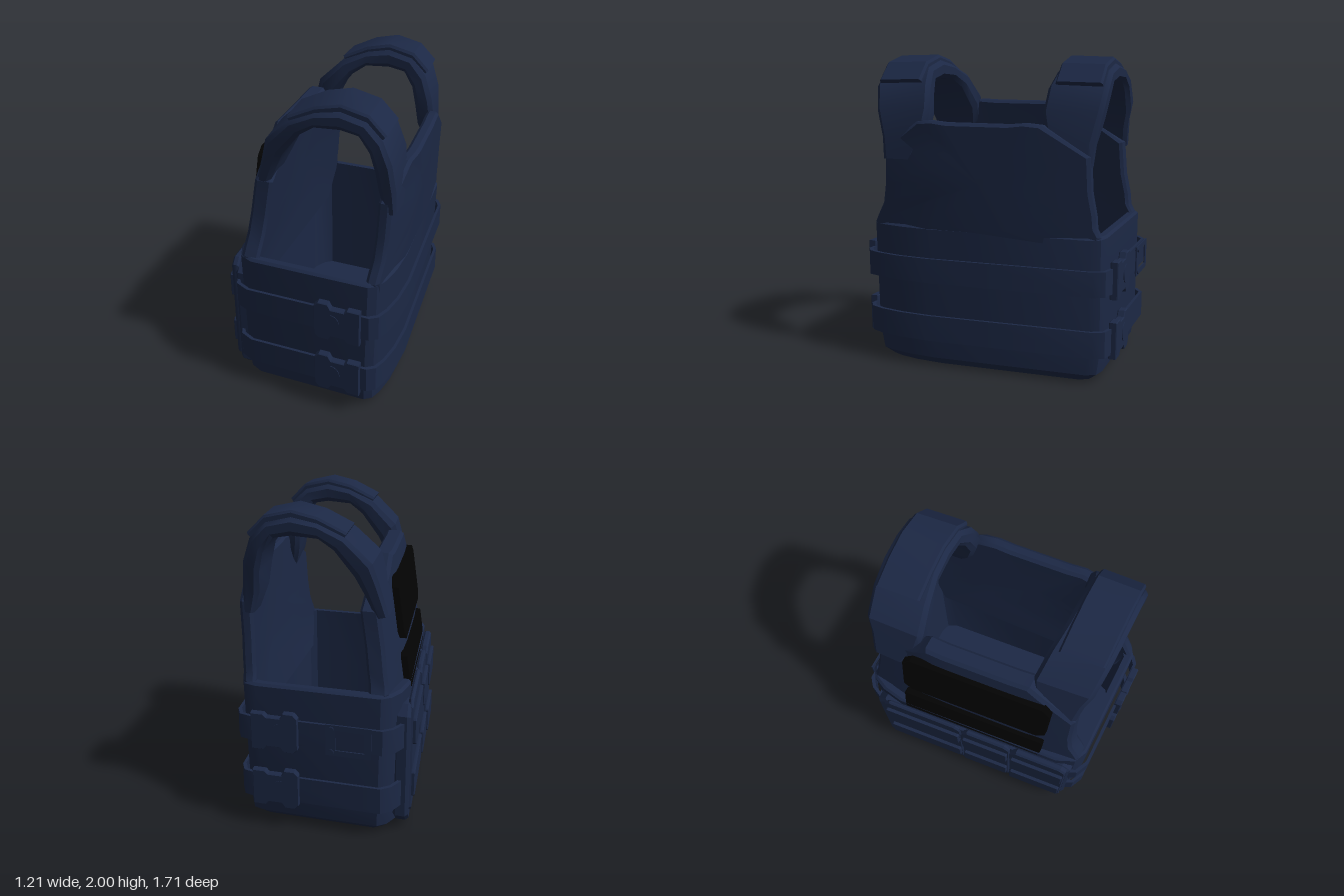
import * as THREE from 'three';
import { toCreasedNormals } from 'three/addons/utils/BufferGeometryUtils.js';

const SKEW = 0.1; // the whole vest is slightly skewed: x grows with z

// Joins rings of [x, y, z] points; ends are capped unless the rings close on themselves
function loft(rings, closed = false) {
  const n = rings[0].length, pos = rings.flat(2), idx = [];
  const count = closed ? rings.length : rings.length - 1;
  for (let r = 0; r < count; r++) {
    const a = r * n, b = ((r + 1) % rings.length) * n;
    for (let i = 0; i < n; i++) {
      const j = (i + 1) % n;
      idx.push(a + i, a + j, b + j, a + i, b + j, b + i);
    }
  }
  if (!closed) {
    [0, rings.length - 1].forEach((r) => {
      const c = pos.length / 3;
      for (let k = 0; k < 3; k++) pos.push(rings[r].reduce((s, p) => s + p[k], 0) / n);
      for (let i = 0; i < n; i++) {
        const a = r * n + i, b = r * n + (i + 1) % n;
        if (r === 0) idx.push(c, b, a); else idx.push(c, a, b);
      }
    });
  }
  // turn the faces outward if the enclosed volume is negative
  let volume = 0;
  const v = (i) => new THREE.Vector3().fromArray(pos, i * 3);
  for (let i = 0; i < idx.length; i += 3) volume += v(idx[i]).dot(v(idx[i + 1]).cross(v(idx[i + 2])));
  if (volume < 0) idx.reverse();
  const g = new THREE.BufferGeometry();
  g.setAttribute('position', new THREE.Float32BufferAttribute(pos, 3));
  g.setIndex(idx);
  return g;
}

// Upright plate with a bevelled edge; outline in (z, y), x leans with height.
// A bent plate wraps inward at its sides, most at the outermost corner of the skewed vest.
function plate(outline, xIn, xOut, lean = 0, bevel = 0.02, bend = 0) {
  const cz = outline.reduce((s, p) => s + p[0], 0) / outline.length;
  const cy = outline.reduce((s, p) => s + p[1], 0) / outline.length;
  const out = Math.sign(xOut - xIn);
  const ring = (x, inset, scale = 1) => outline.map(([z, y]) => {
    const len = Math.hypot(z - cz, y - cy), s = scale * (len - inset) / len;
    const Y = cy + (y - cy) * s, Z = cz + (z - cz) * s;
    const wrap = bend * Math.max(0, Math.abs(Z) - 0.3) * (Z * out > 0 ? 1 : 0.25);
    return [x + lean * (Y - 0.88) - out * wrap, Y, Z];
  });
  const d = out * bevel;
  return loft([ring(xIn, bevel, 0.5), ring(xIn, bevel), ring(xIn + d, 0),
    ring(xOut - d, 0), ring(xOut, bevel), ring(xOut, bevel, 0.5)]);
}

// Panel outline from its +z half; the -z half flares slightly wider above the armpit
const panelOutline = (rows) => [...rows,
  ...rows.map(([z, y]) => [-z - (y > 1 && z > 0.5 ? 0.04 : 0), y]).reverse()];

// Rectangle with cut corners in (z, y)
const cutRect = (z0, z1, y0, y1, c) => [
  [z0 + c, y0], [z1 - c, y0], [z1, y0 + c], [z1, y1 - c],
  [z1 - c, y1], [z0 + c, y1], [z0, y1 - c], [z0, y0 + c]];

// Plan of the torso in (x, z), rounder at two opposite corners
const plan = [
  [0.528, 0.0], [0.528, 0.32], [0.508, 0.52], [0.475, 0.66], [0.44, 0.74], [0.39, 0.775],
  [-0.36, 0.775], [-0.44, 0.735], [-0.48, 0.62], [-0.475, -0.5], [-0.44, -0.64], [-0.39, -0.73], [-0.33, -0.775],
  [0.43, -0.775], [0.5, -0.755], [0.528, -0.69]];
const planRing = (y, sx, sz = sx) => plan.map(([x, z]) => [x * sx, y, z * sz]);

// Shoulder arch: outer x, y, inner x, y, then near and far edge in z
const arch = [
  [-0.375, 1.40, -0.29, 1.38, 0.43, 0.64], [-0.32, 1.60, -0.225, 1.52, 0.345, 0.66],
  [-0.285, 1.72, -0.17, 1.63, 0.325, 0.69], [-0.13, 1.86, -0.05, 1.78, 0.345, 0.705],
  [0.05, 1.935, 0.04, 1.84, 0.37, 0.71], [0.20, 1.965, 0.20, 1.85, 0.375, 0.71],
  [0.36, 1.925, 0.31, 1.83, 0.375, 0.71], [0.46, 1.83, 0.375, 1.74, 0.35, 0.71],
  [0.515, 1.68, 0.405, 1.62, 0.335, 0.69], [0.535, 1.50, 0.42, 1.48, 0.37, 0.65],
  [0.535, 1.36, 0.46, 1.35, 0.44, 0.64]];
const pad = [
  [-0.13, 1.885, -0.10, 1.83, 0.40, 0.68], [0.04, 1.965, 0.06, 1.9, 0.40, 0.68],
  [0.20, 2.0, 0.20, 1.93, 0.40, 0.68], [0.37, 1.96, 0.34, 1.9, 0.40, 0.68],
  [0.475, 1.855, 0.43, 1.81, 0.40, 0.68]];

// Sweeps a chamfered cross-section along an arch on one side
function archLoft(rows, side, c) {
  return loft(rows.map(([ox, oy, ix, iy, zi, zo]) => {
    const shift = side < 0 ? 0.05 : 0;
    const at = (t, z) => [ox + (ix - ox) * t, oy + (iy - oy) * t, side * (z + shift)];
    return [at(0, zi + c), at(0.1, zo - c), at(0.3, zo), at(0.75, zo),
      at(1, zo - c), at(1, zi + c), at(0.75, zi), at(0.25, zi)];
  }));
}

export function createModel() {
  const group = new THREE.Group();
  const navy = new THREE.MeshStandardMaterial({ color: 0x1c2845 });
  navy.name = 'navyFabric';
  const black = new THREE.MeshStandardMaterial({ color: 0x030303 });
  black.name = 'blackPatch';

  const add = (name, geometry, material = navy) => {
    const p = geometry.attributes.position;
    for (let i = 0; i < p.count; i++) p.setX(i, p.getX(i) + SKEW * p.getZ(i));
    const mesh = new THREE.Mesh(toCreasedNormals(geometry, 0.5), material);
    mesh.name = name;
    group.add(mesh);
  };

  // Torso wall with its floor
  add('torsoWall', loft([planRing(0, 0.9), planRing(0.05, 0.975), planRing(0.18, 0.99, 1), planRing(0.92, 1.03, 1),
    planRing(0.935, 1, 0.98), planRing(0.935, 0.93), planRing(0.04, 0.92)]));

  // Back and chest panels
  const sideEdge = [[0.68, 0.65], [0.75, 0.93], [0.725, 0.98], [0.68, 1.06], [0.655, 1.2], [0.645, 1.42]];
  add('backPanel', plate(panelOutline([...sideEdge, [0.4, 1.6], [0.3, 1.61], [0.2, 1.6]]), 0.465, 0.548, 0.04, 0.02, 0.2));
  add('chestPanel', plate(panelOutline([...sideEdge, [0.42, 1.6], [0.33, 1.685], [0.22, 1.68]]), -0.355, -0.475, 0.16, 0.02, 0.2));

  // Chest patches
  add('largePatch', plate(cutRect(-0.46, 0.5, 1.18, 1.56, 0.05), -0.45, -0.495, 0.145, 0.004), black);
  add('smallPatch', plate(cutRect(-0.46, 0.5, 0.885, 1.09, 0.01), -0.45, -0.495, 0.145, 0.004), black);

  // Belt straps around the torso
  [[0.575, 0.735, 1.085], [0.18, 0.35, 1.06]].forEach(([y0, y1, s]) => add('beltStrap', loft([
    planRing(y0, s, 1.055), planRing(y1, s, 1.055),
    planRing(y1, s - 0.035, 1.03), planRing(y0, s - 0.035, 1.03)], true)));

  // Front pouches with webbing over a backing
  add('pouchBacking', plate(cutRect(-0.68, 0.73, 0.04, 0.84, 0.06), -0.41, -0.51));
  [[-0.62, -0.055, -0.522], [-0.045, 0.305, -0.53], [0.315, 0.71, -0.54]].forEach(([z0, z1, x]) => {
    add('pouch', plate(cutRect(z0, z1, 0.09, 0.86, 0.04), -0.49, x, 0, 0.012));
    [[0.57, 0.74], [0.21, 0.38]].forEach(([y0, y1]) =>
      add('pouchWebbing', plate(cutRect(z0 + 0.01, z1 - 0.01, y0, y1, 0.01), -0.515, x - 0.022, 0, 0.005)));
  });

  for (const side of [1, -1]) {
    // Shoulder straps and pads
    add('shoulderStrap', archLoft(arch, side, 0.025));
    add('shoulderPad', archLoft(pad, side, 0.012));

    // Side release buckles: a slotted half and a pronged half
    const x = side > 0 ? 0.225 : 0.31;
    const s = new THREE.Shape();
    s.moveTo(-0.145, -0.1).lineTo(-0.12, -0.125).lineTo(-0.06, -0.125).lineTo(-0.04, -0.095);
    s.lineTo(0.05, -0.095).lineTo(0.07, -0.12).lineTo(0.145, -0.12).lineTo(0.145, 0.11);
    s.lineTo(0.07, 0.11).lineTo(0.05, 0.09).lineTo(-0.04, 0.09).lineTo(-0.06, 0.125);
    s.lineTo(-0.12, 0.125).lineTo(-0.145, 0.1).closePath();
    for (const y of [0.66, 0.275]) {
      const body = new THREE.ExtrudeGeometry(s, { depth: 0.038, bevelThickness: 0.006, bevelSize: 0.004, bevelSegments: 1 });
      add('buckle', body.translate(x, y, side > 0 ? 0.806 : -0.844));
      const tongue = new THREE.CylinderGeometry(0.06, 0.06, 0.01, 16, 1, false, 0, Math.PI);
      add('buckleTongue', tongue.rotateX(Math.PI / 2).translate(x - 0.04, y, side * 0.85));
    }
  }

  // Thin open clip on one side
  const clip = new THREE.Shape();
  clip.moveTo(-0.14, -0.1).lineTo(0.14, -0.1).lineTo(0.14, 0.1).lineTo(-0.14, 0.1).closePath();
  const slot = new THREE.Path();
  slot.moveTo(-0.1, -0.065).lineTo(-0.1, 0.065).lineTo(0.08, 0.065).lineTo(0.08, -0.065).closePath();
  clip.holes.push(slot);
  add('sideClip', new THREE.ExtrudeGeometry(clip, { depth: 0.009, bevelEnabled: false }).translate(-0.155, 0.655, -0.85));
  for (const y of [0.58, 0.73]) {
    add('clipStud', new THREE.CylinderGeometry(0.016, 0.016, 0.024, 10).rotateX(Math.PI / 2).translate(-0.05, y, -0.846));
  }
  return group;
}
